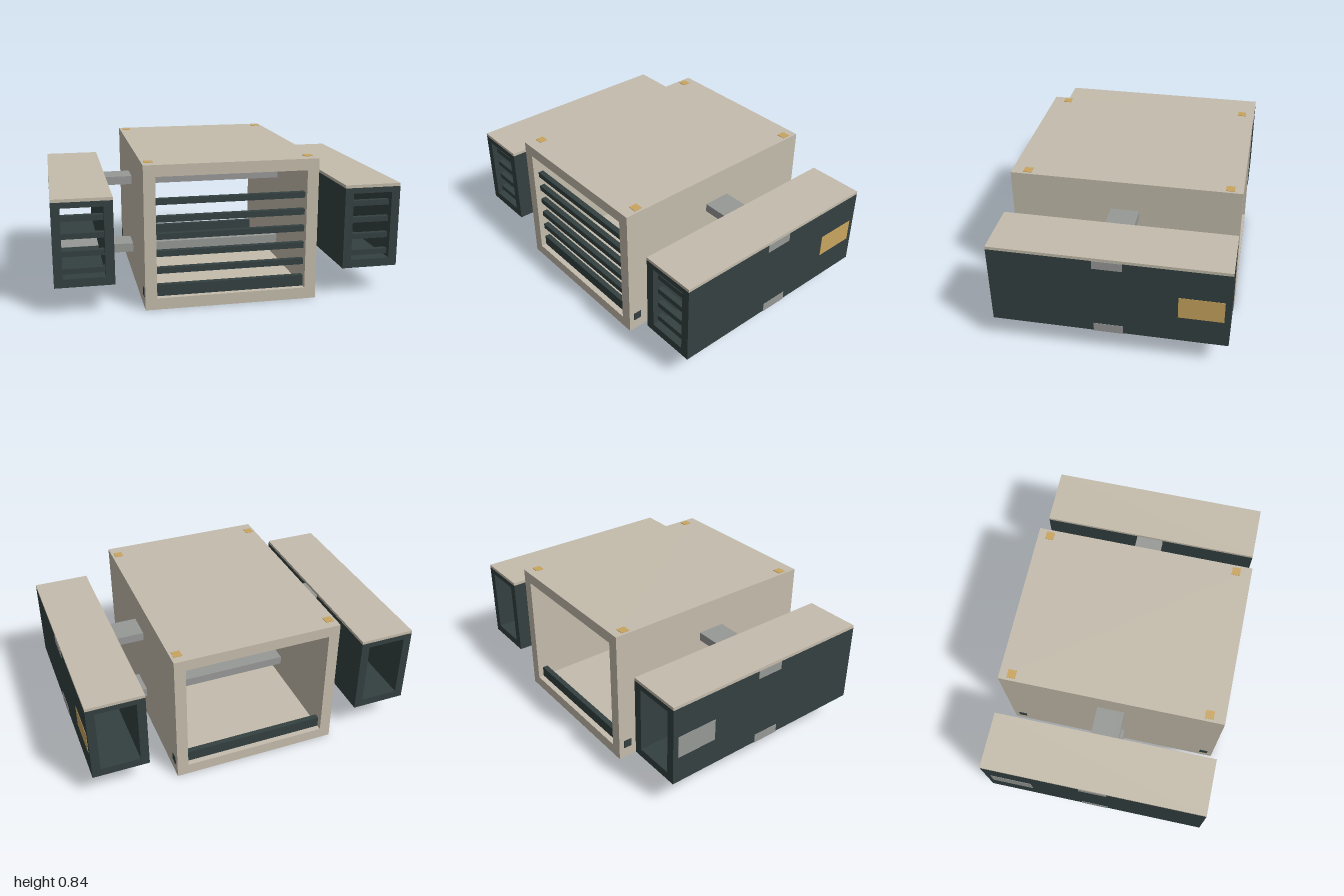
import * as THREE from 'three';

const mat = (name, color) => {
  const m = new THREE.MeshStandardMaterial({ color });
  m.name = name;
  return m;
};

export function createModel() {
  const beige = mat('beige', 0xc4bcac);
  const dark = mat('dark slate', 0x344040);
  const grey = mat('grey', 0x979997);
  const ochre = mat('ochre', 0xc9a55f);
  const model = new THREE.Group();
  model.name = 'module';
  const L = 1.333; // length along z

  // Box given by its minimum and maximum on each axis
  const box = (parent, name, material, x0, x1, y0, y1, z0, z1) => {
    const mesh = new THREE.Mesh(new THREE.BoxGeometry(x1 - x0, y1 - y0, z1 - z0), material);
    mesh.position.set((x0 + x1) / 2, (y0 + y1) / 2, (z0 + z1) / 2);
    mesh.name = name;
    parent.add(mesh);
  };

  // Rectangular tube open at front and back; outer and inner are [x0, x1, y0, y1]
  const rect = (target, [x0, x1, y0, y1]) =>
    target.moveTo(x0, y0).lineTo(x1, y0).lineTo(x1, y1).lineTo(x0, y1).closePath();
  const tube = (parent, name, material, outer, inner) => {
    const shape = rect(new THREE.Shape(), outer);
    shape.holes.push(rect(new THREE.Path(), inner));
    const geo = new THREE.ExtrudeGeometry(shape, { depth: L, bevelEnabled: false });
    geo.translate(0, 0, -L / 2);
    const mesh = new THREE.Mesh(geo, material);
    mesh.name = name;
    parent.add(mesh);
  };

  // Central housing
  const core = new THREE.Group();
  core.name = 'centralHousing';
  model.add(core);
  tube(core, 'housingShell', beige, [-0.5, 0.5, 0, 0.833], [-0.433, 0.433, 0.067, 0.767]);

  // Front grille and the sills of both openings
  for (let i = 0; i < 5; i++) {
    const y = 0.217 + i * 0.1;
    box(core, 'grilleSlat', dark, -0.433, 0.433, y - 0.017, y + 0.017, 0.6, 0.633);
  }
  box(core, 'frontSill', dark, -0.433, 0.433, 0.067, 0.133, 0.6, 0.633);
  box(core, 'backSill', dark, -0.433, 0.433, 0.067, 0.133, -0.633, -0.6);

  // Corner markers on the roof and square ports low on the sides
  for (const s of [-1, 1]) {
    const x = s * 0.459;
    for (const z of [-0.593, 0.573]) {
      box(core, 'roofMarker', ochre, x - 0.025, x + 0.025, 0.832, 0.836, z - 0.025, z + 0.025);
    }
    for (const z of [-0.609, 0.609]) {
      box(core, 'sidePort', dark, s * 0.501 - 0.002, s * 0.501 + 0.002, 0.068, 0.118, z - 0.025, z + 0.025);
    }
  }

  // Cross bars running through the housing and both pods
  box(model, 'upperCrossBar', grey, -1.002, 1.002, 0.6, 0.65, -0.083, 0.083);
  box(model, 'lowerCrossBar', grey, -1.002, 1.002, 0.165, 0.219, -0.083, 0.083);

  // Side pods
  for (const s of [-1, 1]) {
    const pod = new THREE.Group();
    pod.name = s > 0 ? 'leftPod' : 'rightPod';
    model.add(pod);
    const span = (a, b) => (s > 0 ? [a, b] : [-b, -a]);
    const outer = span(0.665, 1);
    const inner = span(0.716, 0.95);
    tube(pod, 'podShell', dark, [...outer, 0.168, 0.65], [...inner, 0.217, 0.617]);
    box(pod, 'podRoof', beige, ...outer, 0.65, 0.668, -L / 2, L / 2);
    for (let i = 0; i < 4; i++) {
      const y = 0.249 + i * 0.1;
      box(pod, 'podSlat', dark, ...inner, y - 0.016, y + 0.016, 0.6, 0.633);
    }
    box(pod, 'podPanel', s > 0 ? ochre : grey, ...span(0.998, 1.002), 0.333, 0.468, -0.634, -0.384);
  }

  return model;
}
